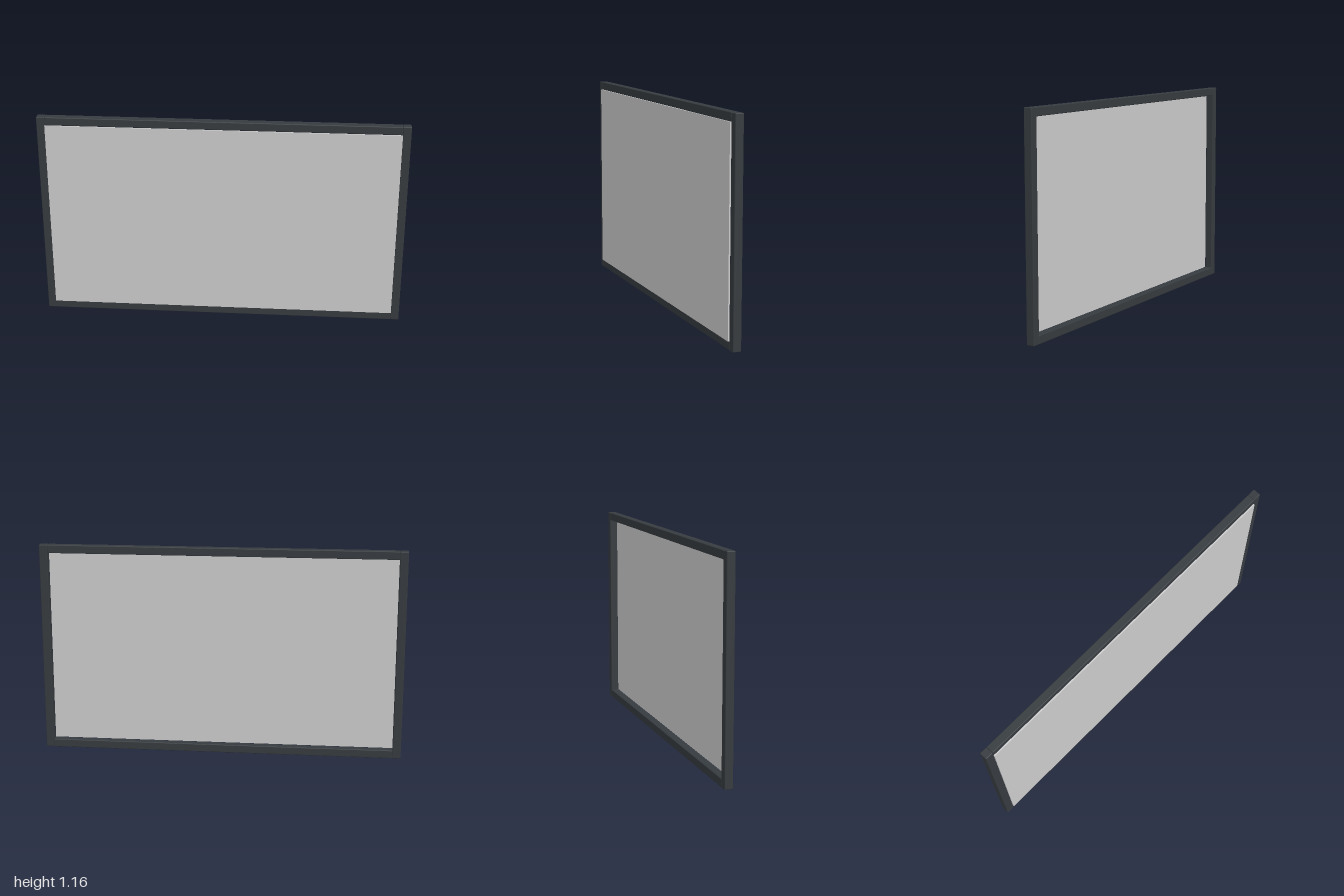
import * as THREE from 'three';
import { RoundedBoxGeometry } from 'three/addons/geometries/RoundedBoxGeometry.js';

const WIDTH = 2, HEIGHT = 1.164, BAR = 0.045;
const FRAME_Z = -0.0035; // frame centre; the panel stands proud of its front

export function createModel() {
  const group = new THREE.Group();
  const frameMaterial = new THREE.MeshStandardMaterial({ color: 0x363b3f });
  const panelMaterial = new THREE.MeshStandardMaterial({ color: 0xcccccc });

  const add = (name, geometry, material, x, y, z) => {
    const mesh = new THREE.Mesh(geometry, material);
    mesh.name = name;
    mesh.position.set(x, y, z);
    group.add(mesh);
  };

  // Square frame bars with slightly softened edges
  const bar = (w, h) => new RoundedBoxGeometry(w, h, BAR, 2, 0.004);
  const innerWidth = WIDTH - 2 * BAR, innerHeight = HEIGHT - 2 * BAR;

  // Full-height posts at the sides
  for (const [name, side] of [['leftPost', 1], ['rightPost', -1]]) {
    add(name, bar(BAR, HEIGHT), frameMaterial, side * (WIDTH - BAR) / 2, HEIGHT / 2, FRAME_Z);
  }

  // Rails fitted between the posts
  for (const [name, y] of [['bottomRail', BAR / 2], ['topRail', HEIGHT - BAR / 2]]) {
    add(name, bar(innerWidth, BAR), frameMaterial, 0, y, FRAME_Z);
  }

  // Thin panel filling the opening at the front
  add('panel', new THREE.BoxGeometry(innerWidth, innerHeight, 0.008), panelMaterial, 0, HEIGHT / 2, 0.022);

  return group;
}
